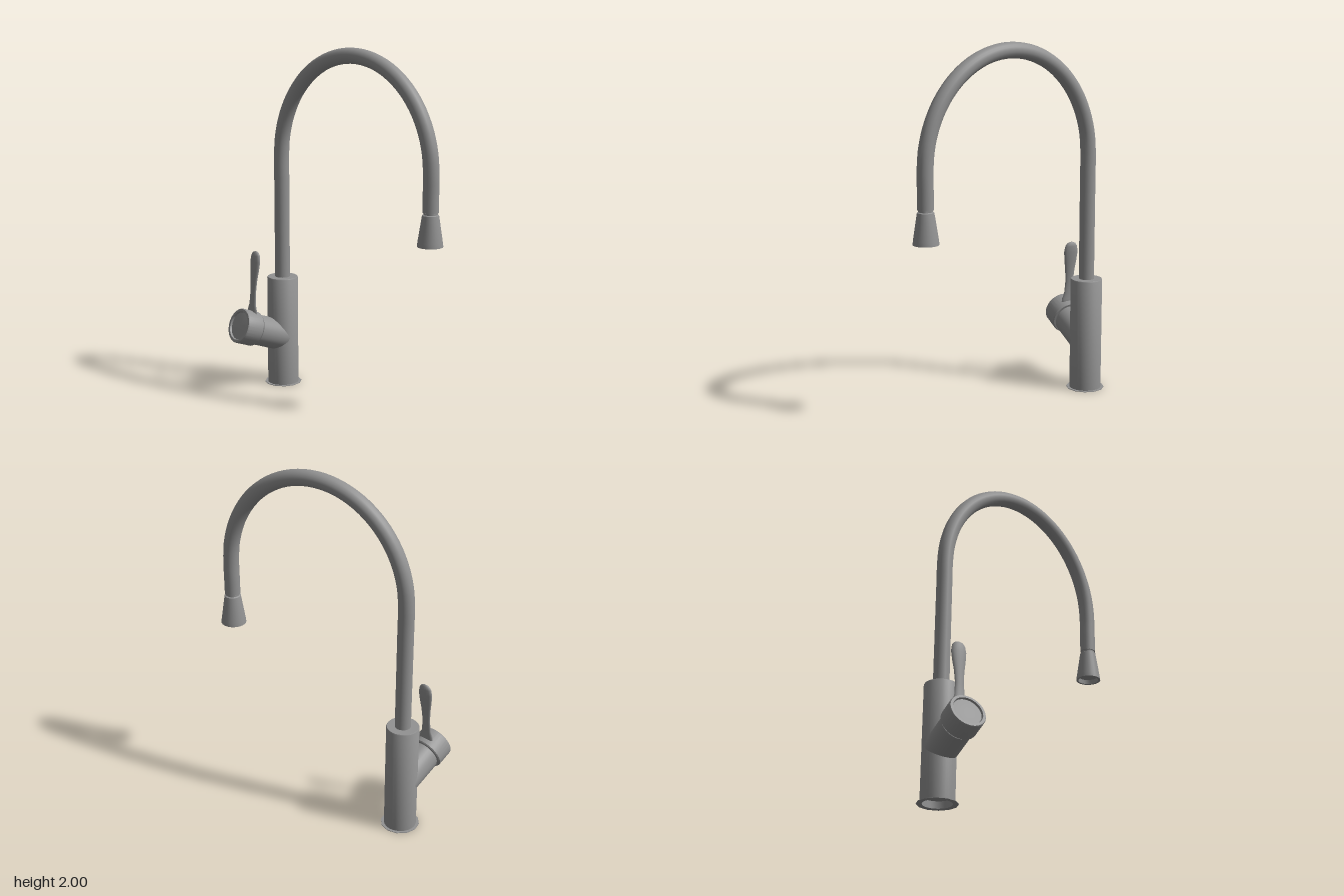
import * as THREE from 'three';
import { mergeVertices, toCreasedNormals } from 'three/addons/utils/BufferGeometryUtils.js';

const metal = new THREE.MeshStandardMaterial({ color: 0x929292 });
metal.name = 'brushed metal';

const BASE = new THREE.Vector3(0.03, 0, -0.51);
const SPOUT = new THREE.Vector3(0.244, 0, 0.551);

function addMesh(parent, name, geometry) {
  const mesh = new THREE.Mesh(geometry, metal);
  mesh.name = name;
  parent.add(mesh);
  return mesh;
}

// Revolved part with crisp edges; profile runs from the lower axis outward and up
function turned(profile, sides = 32) {
  const points = profile.map(([r, y]) => new THREE.Vector2(r, y));
  return toCreasedNormals(new THREE.LatheGeometry(points, sides), 0.6);
}

// Gooseneck: straight riser, half-ellipse arch, short straight drop
function gooseneckCurve() {
  const points = [];
  const at = (s, y) => {
    const p = BASE.clone().lerp(SPOUT, s);
    points.push(new THREE.Vector3(p.x, y, p.z));
  };
  [0.62, 0.85, 1.1, 1.25].forEach((y) => at(0, y));
  for (let i = 0; i <= 16; i++) {
    const a = (Math.PI * i) / 16;
    at((1 - Math.cos(a)) / 2, 1.365 + 0.592 * Math.sin(a));
  }
  [1.26, 1.167].forEach((y) => at(1, y));
  return new THREE.CatmullRomCurve3(points);
}

// Lever: stations of [height, centre x, half thickness, half width]
function leverGeometry() {
  const stations = [
    [0.43, -0.184, 0.014, 0.046], [0.475, -0.184, 0.013, 0.043],
    [0.51, -0.182, 0.010, 0.030], [0.58, -0.177, 0.010, 0.025],
    [0.65, -0.171, 0.012, 0.030], [0.71, -0.165, 0.015, 0.039],
    [0.76, -0.160, 0.017, 0.044], [0.795, -0.157, 0.016, 0.038],
    [0.812, -0.156, 0.012, 0.026], [0.82, -0.155, 0.003, 0.007],
  ];
  const last = stations.length - 1;
  const g = new THREE.CylinderGeometry(1, 1, 1, 16, last);
  const p = g.attributes.position;
  for (let i = 0; i < p.count; i++) {
    const [y, cx, thick, wide] = stations[Math.round((p.getY(i) + 0.5) * last)];
    p.setXYZ(i, cx + p.getX(i) * thick, y, BASE.z + p.getZ(i) * wide);
  }
  g.deleteAttribute('normal');
  g.deleteAttribute('uv');
  const smooth = mergeVertices(g);
  smooth.computeVertexNormals();
  return smooth;
}

export function createModel() {
  const model = new THREE.Group();
  model.name = 'kitchenTap';

  // Body, hollow underneath, on a thin flange
  const body = addMesh(model, 'body', turned([
    [0, 0.04], [0.078, 0.04], [0.078, 0.001], [0.09, 0.001],
    [0.09, 0.64], [0.087, 0.645], [0, 0.645],
  ]));
  body.position.copy(BASE);
  const flange = addMesh(model, 'baseFlange', turned([
    [0.086, 0], [0.108, 0], [0.108, 0.003], [0.086, 0.003],
  ], 12));
  flange.position.copy(BASE);

  // Spout
  addMesh(model, 'gooseneck', new THREE.TubeGeometry(gooseneckCurve(), 72, 0.0435, 20));
  const nozzle = addMesh(model, 'nozzle', turned([
    [0, 1.01], [0.056, 1.01], [0.058, 0.985], [0.07, 0.985],
    [0.067, 1.01], [0.045, 1.153], [0.038, 1.157], [0.038, 1.166],
    [0.0435, 1.168], [0, 1.169],
  ], 24));
  nozzle.position.copy(SPOUT);

  // Tilted valve; its local y runs from the body out to the cap face
  const valve = new THREE.Group();
  valve.name = 'valve';
  const axis = new THREE.Vector3(-0.937, 0.35, 0).normalize();
  valve.position.set(0.03, 0.281, BASE.z);
  valve.quaternion.setFromUnitVectors(new THREE.Vector3(0, 1, 0), axis);
  model.add(valve);
  addMesh(valve, 'valveArm', turned([
    [0, 0], [0.089, 0], [0.089, 0.211], [0.083, 0.214],
    [0.083, 0.228], [0, 0.228],
  ]));
  addMesh(valve, 'valveCap', turned([
    [0, 0.221], [0.096, 0.221], [0.101, 0.226], [0.101, 0.325],
    [0.097, 0.331], [0.083, 0.331], [0.079, 0.321], [0.04, 0.325], [0, 0.326],
  ]));

  addMesh(model, 'lever', leverGeometry());
  return model;
}
